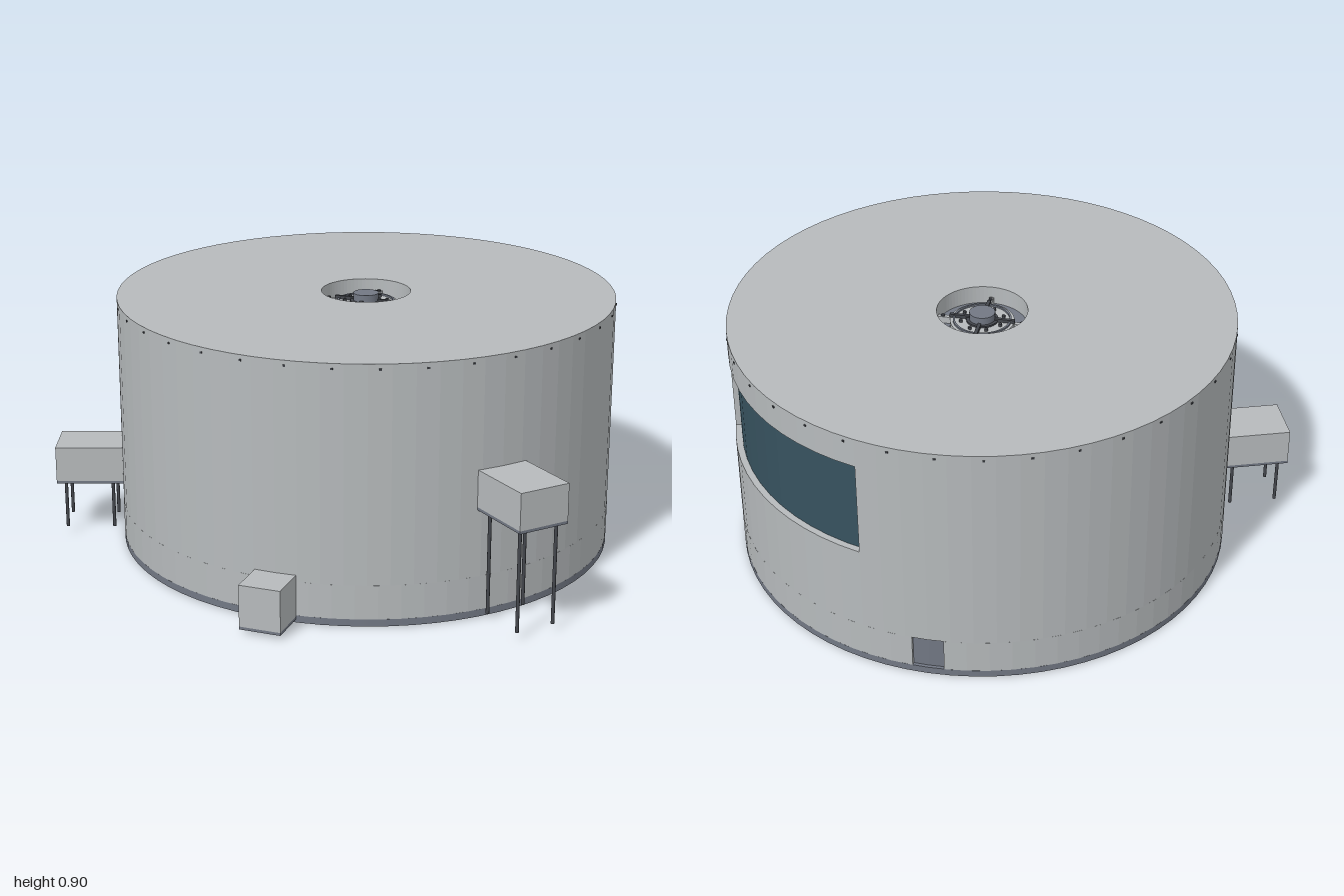
import * as THREE from 'three';

const mat = (name, color) => {
  const m = new THREE.MeshStandardMaterial({ color });
  m.name = name;
  return m;
};

export function createModel() {
  const grey = mat('wall grey', 0xb6babc);
  const slate = mat('slate trim', 0x727884);
  const under = mat('underside grey', 0x6c6c6e);
  const dark = mat('dark metal', 0x43464c);
  const glass = mat('blue glass', 0x37525f);

  const model = new THREE.Group();
  const R = 0.88;
  // everything is placed around the drum's axis
  const drum = new THREE.Group();
  drum.name = 'drum';
  drum.position.set(0.08, 0, -0.07);
  model.add(drum);

  const add = (parent, name, geometry, material, x = 0, y = 0, z = 0) => {
    const m = new THREE.Mesh(geometry, material);
    m.name = name;
    m.position.set(x, y, z);
    parent.add(m);
    return m;
  };

  // curved block between two angles (degrees from +x towards -z), radii and heights
  const arc = (name, a0, a1, r0, r1, y0, y1, material) => {
    const n = Math.max(1, Math.round((a1 - a0) / 5));
    const pts = [];
    const put = (r, i) => {
      const a = THREE.MathUtils.degToRad(a0 + ((a1 - a0) * i) / n);
      pts.push(new THREE.Vector2(r * Math.cos(a), r * Math.sin(a)));
    };
    for (let i = 0; i <= n; i++) put(r1, i);
    for (let i = n; i >= 0; i--) put(r0, i);
    const g = new THREE.ExtrudeGeometry(new THREE.Shape(pts), { depth: y1 - y0, bevelEnabled: false });
    g.rotateX(-Math.PI / 2);
    return add(drum, name, g, material, 0, y0, 0);
  };
  const ring = (name, ...rest) => {
    arc(name, 0, 180, ...rest);
    arc(name, 180, 360, ...rest);
  };
  const disc = (name, r, y0, y1, material, sides = 72) =>
    add(drum, name, new THREE.CylinderGeometry(r, r, y1 - y0, sides), material, 0, (y0 + y1) / 2, 0);

  // base plate with underside and drain
  const base = disc('basePlate', R, 0.002, 0.027, slate);
  base.material = [slate, slate, under];
  disc('drain', 0.025, 0, 0.004, grey, 24);

  // wall in bands, leaving the back hatch and the window open
  const inner = R - 0.04;
  arc('lowerWall', 93.5, 446.5, inner, R, 0.027, 0.147, grey);
  ring('middleWall', inner, R, 0.147, 0.455, grey);
  arc('windowWall', 75, 375, inner, R, 0.455, 0.795, grey);
  ring('upperWall', inner, R, 0.795, 0.87, grey);
  arc('windowGlass', 14, 76, 0.842, 0.857, 0.45, 0.8, glass);
  arc('backHatch', 86, 94, 0.845, 0.868, 0.027, 0.15, slate);

  // roof with a round well
  ring('roof', 0.158, R, 0.87, 0.9, grey);
  ring('wellWall', 0.158, 0.175, 0.83, 0.87, grey);
  disc('wellFloor', 0.17, 0.825, 0.835, slate);
  disc('turntable', 0.112, 0.835, 0.86, grey, 48);
  ring('turntableRim', 0.095, 0.102, 0.86, 0.866, slate);
  disc('hubCollar', 0.056, 0.86, 0.866, dark, 32);
  disc('hub', 0.045, 0.86, 0.892, slate, 32);
  for (let i = 0; i < 4; i++) {
    const arm = new THREE.Group();
    arm.name = 'spoke';
    arm.rotation.y = (i * Math.PI) / 2;
    drum.add(arm);
    add(arm, 'spokeBar', new THREE.BoxGeometry(0.07, 0.012, 0.012), dark, 0.08, 0.866, 0);
    add(arm, 'spokeEnd', new THREE.BoxGeometry(0.044, 0.025, 0.016), grey, 0.135, 0.847, 0);
    add(arm, 'spokeStud', new THREE.CylinderGeometry(0.007, 0.007, 0.03, 12), dark, 0.14, 0.85, 0);
    for (const s of [-1, 1]) {
      const a = s * 0.39;
      add(arm, 'turntableBolt', new THREE.CylinderGeometry(0.006, 0.006, 0.012, 10), dark,
        0.075 * Math.cos(a), 0.864, 0.075 * Math.sin(a));
    }
  }

  // small bolts under the roof edge
  for (let i = 0; i < 36; i++) {
    const a = (i * 10 + 2.5) * Math.PI / 180;
    const b = add(drum, 'edgeBolt', new THREE.BoxGeometry(0.004, 0.006, 0.008), dark,
      R * Math.cos(a), 0.882, -R * Math.sin(a));
    b.rotation.y = a;
  }

  // boxes standing out from the wall, some raised on legs
  const annex = (name, angle, rOut, width, y0, y1, legs) => {
    const g = new THREE.Group();
    g.name = name;
    g.rotation.y = THREE.MathUtils.degToRad(angle);
    drum.add(g);
    const r0 = 0.874, len = rOut - r0, mid = (rOut + r0) / 2, slab = 0.01;
    add(g, 'annexBody', new THREE.BoxGeometry(len, y1 - y0 - slab, width), grey, mid, (y0 + slab + y1) / 2, 0);
    add(g, 'annexFloor', new THREE.BoxGeometry(len, slab, width), slate, mid, y0 + slab / 2, 0);
    if (!legs) return;
    for (const r of [0.915, 1.085]) for (const z of [-0.07, 0.07])
      add(g, 'leg', new THREE.CylinderGeometry(0.006, 0.006, y0 - 0.027, 12), dark, r, (y0 + 0.027) / 2, z);
  };
  annex('rightAnnex', 200, 1.116, 0.185, 0.2, 0.337, true);
  annex('leftAnnex', -40, 1.116, 0.185, 0.382, 0.52, true);
  annex('frontAnnex', -90, 1.015, 0.145, 0.014, 0.17, false);

  return model;
}
